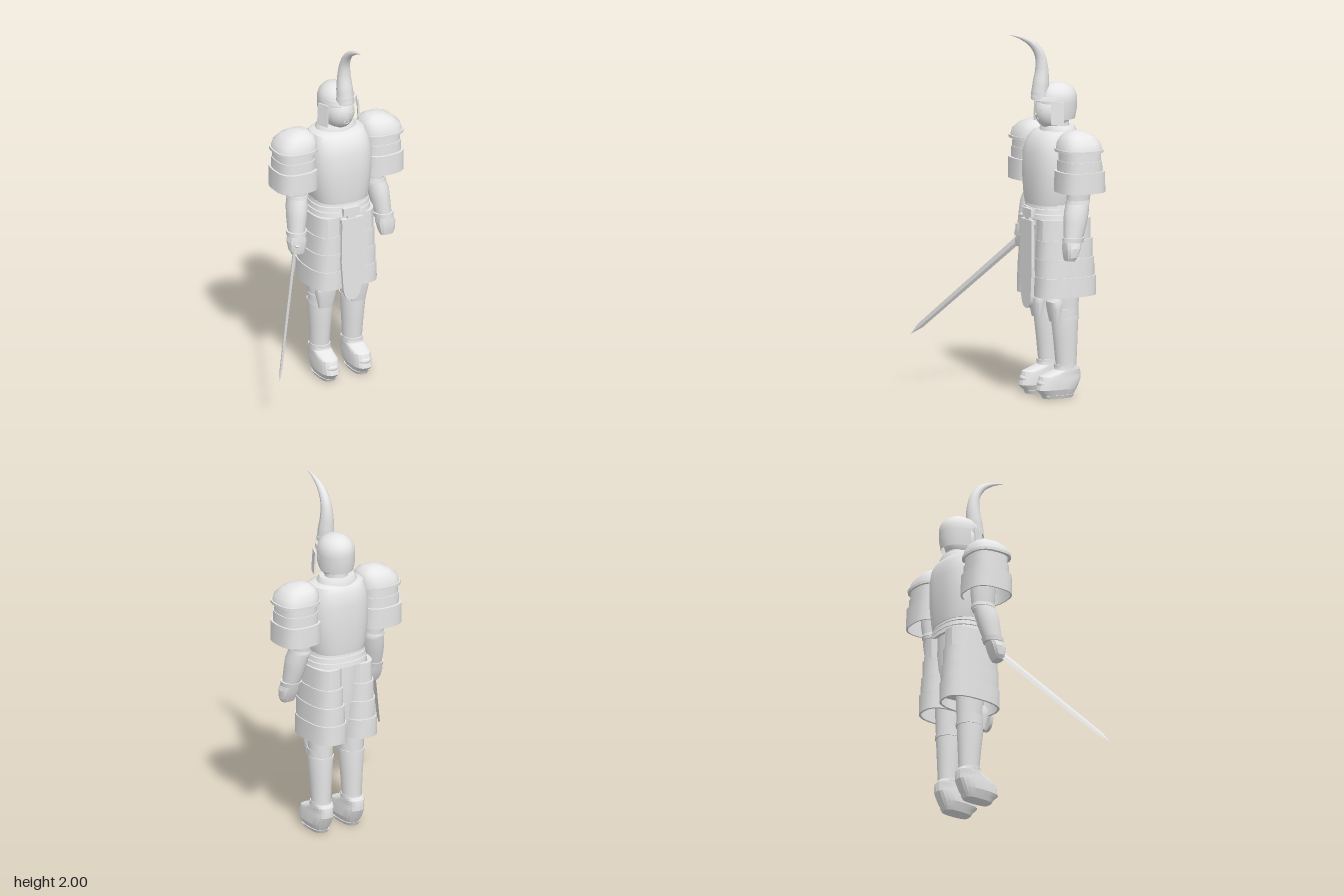
import * as THREE from 'three';
import { toCreasedNormals } from 'three/addons/utils/BufferGeometryUtils.js';

const steel = new THREE.MeshStandardMaterial({ color: 0xf4f4f4, side: THREE.DoubleSide });
steel.name = 'pale steel';

// Rounded-square cross-sections, listed bottom to top as [y, rx, rz, cz, cx]
function loft(rows, { n = 2, sides = 24, from = 0, to = Math.PI * 2, crease = 0.6 } = {}) {
  const pos = [], idx = [], w = sides + 1;
  const pw = v => Math.sign(v) * Math.pow(Math.abs(v), 2 / n);
  for (const [y, rx, rz, cz, cx = 0] of rows) {
    for (let j = 0; j <= sides; j++) {
      const a = from + (to - from) * j / sides;
      pos.push(cx + rx * pw(Math.cos(a)), y, cz + rz * pw(Math.sin(a)));
    }
  }
  for (let i = 0; i < rows.length - 1; i++) {
    for (let j = 0; j < sides; j++) {
      const p = i * w + j, q = p + w;
      if (rows[i][1] > 0) idx.push(p, q, p + 1);
      if (rows[i + 1][1] > 0) idx.push(q, q + 1, p + 1);
    }
  }
  const g = new THREE.BufferGeometry();
  g.setAttribute('position', new THREE.Float32BufferAttribute(pos, 3));
  g.setIndex(idx);
  return toCreasedNormals(g, crease);
}

// Close both ends of a row list
function capped(rows) {
  const a = rows[0], b = rows[rows.length - 1];
  return [[a[0], 0, 0, a[3], a[4]], ...rows, [b[0], 0, 0, b[3], b[4]]];
}

// Plate ring with a folded lip at the top and bottom
function band(y0, y1, rx0, rz0, rx1, rz1, cz, cx = 0, t = 0.018) {
  return [[y0, rx0 - t, rz0 - t, cz, cx], [y0, rx0, rz0, cz, cx],
    [y1, rx1, rz1, cz, cx], [y1, rx1 - t * 2, rz1 - t * 2, cz, cx]];
}

export function createModel() {
  const model = new THREE.Group();
  const body = new THREE.Group();
  body.name = 'armouredFigure';
  body.position.x = 0.127;
  model.add(body);
  const add = (name, geo, parent = body) => {
    const m = new THREE.Mesh(geo, steel);
    m.name = name;
    parent.add(m);
    return m;
  };

  // Torso
  add('breastplate', loft(capped([
    [1.06, 0.155, 0.145, -0.17], [1.1, 0.165, 0.15, -0.17], [1.22, 0.18, 0.155, -0.17],
    [1.34, 0.18, 0.152, -0.172], [1.41, 0.165, 0.136, -0.178],
    [1.445, 0.15, 0.11, -0.185], [1.46, 0.11, 0.085, -0.19]]), { n: 2.6, sides: 40 }));
  add('collar', loft([[1.43, 0.12, 0.1, -0.195], [1.465, 0.115, 0.095, -0.195],
    [1.485, 0.1, 0.085, -0.195], [1.485, 0.07, 0.06, -0.195]]));
  add('neck', loft([[1.44, 0.065, 0.07, -0.19], [1.54, 0.06, 0.065, -0.19]]));
  for (let i = 0; i < 3; i++) {
    const y = 0.985 + i * 0.03, r = 0.173 - i * 0.006;
    add('waistBand', loft(band(y, y + 0.025, r, r - 0.018, r - 0.004, r - 0.022, -0.17), { n: 2.5 }));
  }
  add('hips', loft(capped([[0.62, 0.12, 0.11, -0.18], [0.85, 0.15, 0.135, -0.175],
    [1.06, 0.15, 0.135, -0.17]])));

  // Hanging front cloth and buckle
  const s = new THREE.Shape();
  s.moveTo(-0.062, 0.96);
  s.lineTo(-0.066, 0.72);
  s.lineTo(-0.054, 0.56);
  s.quadraticCurveTo(-0.045, 0.49, 0, 0.49);
  s.quadraticCurveTo(0.045, 0.49, 0.054, 0.56);
  s.lineTo(0.066, 0.72);
  s.lineTo(0.062, 0.96);
  add('frontCloth', new THREE.ExtrudeGeometry(s, { depth: 0.018, bevelEnabled: false }))
    .position.z = -0.016;
  add('buckle', new THREE.BoxGeometry(0.1, 0.045, 0.03)).position.set(0, 1.015, -0.018);
  add('clothBar', new THREE.BoxGeometry(0.13, 0.024, 0.024)).position.set(0, 0.965, -0.01);
  add('clothTie', new THREE.BoxGeometry(0.05, 0.04, 0.02)).position.set(0, 0.985, -0.015);

  // Head
  const head = add('face', new THREE.SphereGeometry(1, 28, 20));
  head.scale.set(0.085, 0.105, 0.108);
  head.position.set(0, 1.565, -0.167);
  add('helmetDome', loft([[1.61, 0.1, 0.113, -0.187], [1.64, 0.1, 0.115, -0.187],
    [1.67, 0.09, 0.104, -0.188], [1.695, 0.07, 0.082, -0.188], [1.712, 0.042, 0.05, -0.188],
    [1.722, 0, 0, -0.188]], { sides: 32, crease: 1 }));
  add('neckGuard', loft([[1.52, 0.093, 0.105, -0.185], [1.57, 0.1, 0.113, -0.187],
    [1.62, 0.101, 0.114, -0.187]], { from: Math.PI * 0.97, to: Math.PI * 2.03 }));
  add('brow', loft(band(1.628, 1.65, 0.098, 0.142, 0.094, 0.132, -0.185, 0, 0.03),
    { from: 0.25, to: Math.PI - 0.25 }));
  const mouth = add('mouth', new THREE.TorusGeometry(0.015, 0.003, 6, 20));
  mouth.scale.y = 0.6;
  mouth.position.set(0, 1.525, -0.066);
  const nose = add('nose', new THREE.ConeGeometry(0.007, 0.025, 4));
  nose.position.set(0, 1.56, -0.06);

  // Curved crest horn
  const hornRows = [[1.64, -0.08, 0.047], [1.72, -0.09, 0.045], [1.8, -0.096, 0.036],
    [1.875, -0.083, 0.028], [1.935, -0.042, 0.021], [1.975, 0.022, 0.012], [2, 0.1, 0.001]];
  const curve = new THREE.CatmullRomCurve3(hornRows.map(([y, z]) => new THREE.Vector3(0, y, z)));
  const horn = new THREE.TubeGeometry(curve, 36, 1, 14, false);
  const hp = horn.attributes.position;
  for (let i = 0; i <= 36; i++) {
    const c = curve.getPointAt(i / 36);
    // Radius follows the height of the nearest listed section
    let k = 0;
    while (k < hornRows.length - 2 && c.y > hornRows[k + 1][0]) k++;
    const [ya, , ra] = hornRows[k], [yb, , rb] = hornRows[k + 1];
    const r = THREE.MathUtils.lerp(ra, rb, THREE.MathUtils.clamp((c.y - ya) / (yb - ya), 0, 1));
    for (let j = 0; j <= 14; j++) {
      const q = new THREE.Vector3().fromBufferAttribute(hp, i * 15 + j).sub(c).multiplyScalar(r).add(c);
      hp.setXYZ(i * 15 + j, q.x, Math.min(q.y, 2), q.z);
    }
  }
  horn.computeVertexNormals();
  add('crestHorn', horn);
  add('hornSocket', loft([[1.635, 0.05, 0.046, -0.082], [1.675, 0.049, 0.048, -0.085],
    [1.675, 0.03, 0.03, -0.085]]));

  for (const d of [1, -1]) {
    const side = d > 0 ? 'left' : 'right';
    const part = name => side + name;

    // Cheek guard and eye
    const cheek = add(part('CheekGuard'), new THREE.BoxGeometry(0.01, 0.125, 0.07));
    cheek.position.set(d * 0.108, 1.562, -0.135);
    cheek.rotation.set(0, -d * 0.4, d * 0.06);
    const eye = add(part('Eye'), new THREE.BoxGeometry(0.024, 0.006, 0.008));
    eye.position.set(d * 0.034, 1.575, -0.07);
    eye.rotation.set(0, d * 0.4, d * 0.1);

    // Shoulder armour: a dome over stepped plates
    const px = d * 0.262;
    add(part('ShoulderDome'), loft([[1.375, 0.11, 0.11, -0.185, px], [1.375, 0.125, 0.123, -0.185, px],
      [1.39, 0.125, 0.123, -0.185, px], [1.39, 0.118, 0.116, -0.185, d * 0.26],
      [1.425, 0.113, 0.109, -0.185, d * 0.256], [1.46, 0.085, 0.083, -0.185, d * 0.244],
      [1.48, 0.047, 0.047, -0.185, d * 0.237], [1.488, 0, 0, -0.185, d * 0.235]], { n: 2.7, crease: 0.75 }));
    for (const [y0, y1, rx, rz] of [[1.32, 1.375, 0.106, 0.108], [1.255, 1.328, 0.112, 0.114],
      [1.155, 1.27, 0.123, 0.13]]) {
      add(part('ShoulderPlate'), loft(band(y0, y1, rx, rz, rx - 0.001, rz - 0.001,
        -0.188, d * 0.263, 0.008), { n: 2.8 }));
    }

    // Arm, tilted slightly forward below the elbow
    add(part('UpperArm'), loft(capped([[1.07, 0.053, 0.063, -0.19, d * 0.235],
      [1.16, 0.058, 0.07, -0.195, d * 0.24], [1.4, 0.075, 0.08, -0.19, d * 0.235]])));
    add(part('ElbowBand'), loft(band(1.085, 1.105, 0.06, 0.07, 0.057, 0.067, -0.19, d * 0.238)));
    add(part('Forearm'), loft(capped([[0.9, 0.047, 0.054, -0.148, d * 0.265],
      [0.98, 0.055, 0.066, -0.165, d * 0.255], [1.04, 0.059, 0.07, -0.175, d * 0.248],
      [1.09, 0.053, 0.066, -0.188, d * 0.24]]), { sides: 16 }));
    add(part('Cuff'), loft(capped([[0.88, 0.054, 0.058, -0.143, d * 0.267],
      [0.905, 0.058, 0.061, -0.148, d * 0.265]])));
    add(part('Hand'), loft(capped([[0.78, 0.036, 0.024, -0.12, d * 0.272],
      [0.8, 0.046, 0.032, -0.124, d * 0.274], [0.85, 0.053, 0.045, -0.132, d * 0.272],
      [0.89, 0.044, 0.048, -0.14, d * 0.268]]), { n: 3, sides: 12, crease: 0.4 }));

    // Layered skirt plates around each leg
    for (let i = 0; i < 4; i++) {
      const y0 = [0.56, 0.662, 0.765, 0.868][i], y1 = [0.668, 0.77, 0.872, 0.985][i];
      const rx = 0.105 - i * 0.007, rz = 0.175 - i * 0.007;
      add(part('SkirtPlate'), loft(band(y0, y1, rx, rz, rx - 0.001, rz - 0.001,
        -0.187 + i * 0.003, d * 0.099, 0.012), { n: 2.6, sides: 20, crease: 0.5 }));
    }

    // Leg
    const lx = d * 0.1;
    add(part('Thigh'), loft(capped([[0.44, 0.062, 0.07, -0.19, lx], [0.56, 0.07, 0.078, -0.185, lx],
      [0.9, 0.078, 0.09, -0.18, lx]])));
    add(part('KneeGuard'), loft(capped([[0.42, 0.042, 0.02, -0.12, lx], [0.5, 0.058, 0.036, -0.12, lx],
      [0.53, 0.057, 0.04, -0.121, lx], [0.56, 0.05, 0.025, -0.13, lx]]), { n: 2.6, sides: 16 }));
    add(part('Greave'), loft(capped([[0.17, 0.053, 0.057, -0.192, lx],
      [0.3, 0.06, 0.066, -0.188, lx], [0.4, 0.068, 0.073, -0.184, lx],
      [0.49, 0.069, 0.073, -0.183, lx]])));
    for (const [y, r] of [[0.165, 0.057], [0.43, 0.071]]) {
      add(part('GreaveBand'), loft(band(y, y + 0.018, r, r + 0.005, r, r + 0.005, -0.188, lx)));
    }

    // Boot
    const fx = d * 0.1;
    add(part('Boot'), loft(capped([[0.012, 0.04, 0.088, -0.138, fx], [0.05, 0.056, 0.118, -0.131, fx],
      [0.1, 0.058, 0.122, -0.149, fx], [0.122, 0.055, 0.118, -0.153, fx],
      [0.138, 0.055, 0.094, -0.176, fx], [0.155, 0.055, 0.07, -0.197, fx],
      [0.172, 0.054, 0.062, -0.194, fx]]), { n: 2.8, sides: 20, crease: 0.3 }));
    add(part('Sole'), loft(capped([[0, 0.04, 0.085, -0.138, fx], [0.018, 0.048, 0.094, -0.138, fx]]), { n: 3 }));
    const toe = add(part('ToeCap'), new THREE.SphereGeometry(1, 16, 10));
    toe.scale.set(0.04, 0.022, 0.03);
    toe.position.set(fx, 0.085, -0.048);
  }

  // Sword: local y runs to the tip, local x across the flat of the blade
  const grip = new THREE.Vector3(-0.15, 0.84, -0.135), tip = new THREE.Vector3(-0.515, 0.28, 0.365);
  const len = grip.distanceTo(tip);
  const dir = tip.clone().sub(grip).normalize();
  const across = new THREE.Vector3(0.065, 0.64, 0.77);
  across.addScaledVector(dir, -across.dot(dir)).normalize();
  const sword = new THREE.Group();
  sword.name = 'sword';
  sword.position.copy(grip);
  sword.quaternion.setFromRotationMatrix(
    new THREE.Matrix4().makeBasis(across, dir, across.clone().cross(dir)));
  model.add(sword);
  add('blade', loft([[0, 0.025, 0.005, 0], [len - 0.07, 0.019, 0.004, 0], [len, 0, 0, 0]],
    { sides: 4, crease: 0.1 }), sword);
  add('guard', new THREE.BoxGeometry(0.065, 0.014, 0.022), sword).position.y = 0.035;
  add('grip', new THREE.CylinderGeometry(0.013, 0.013, 0.08, 12), sword);

  return model;
}
